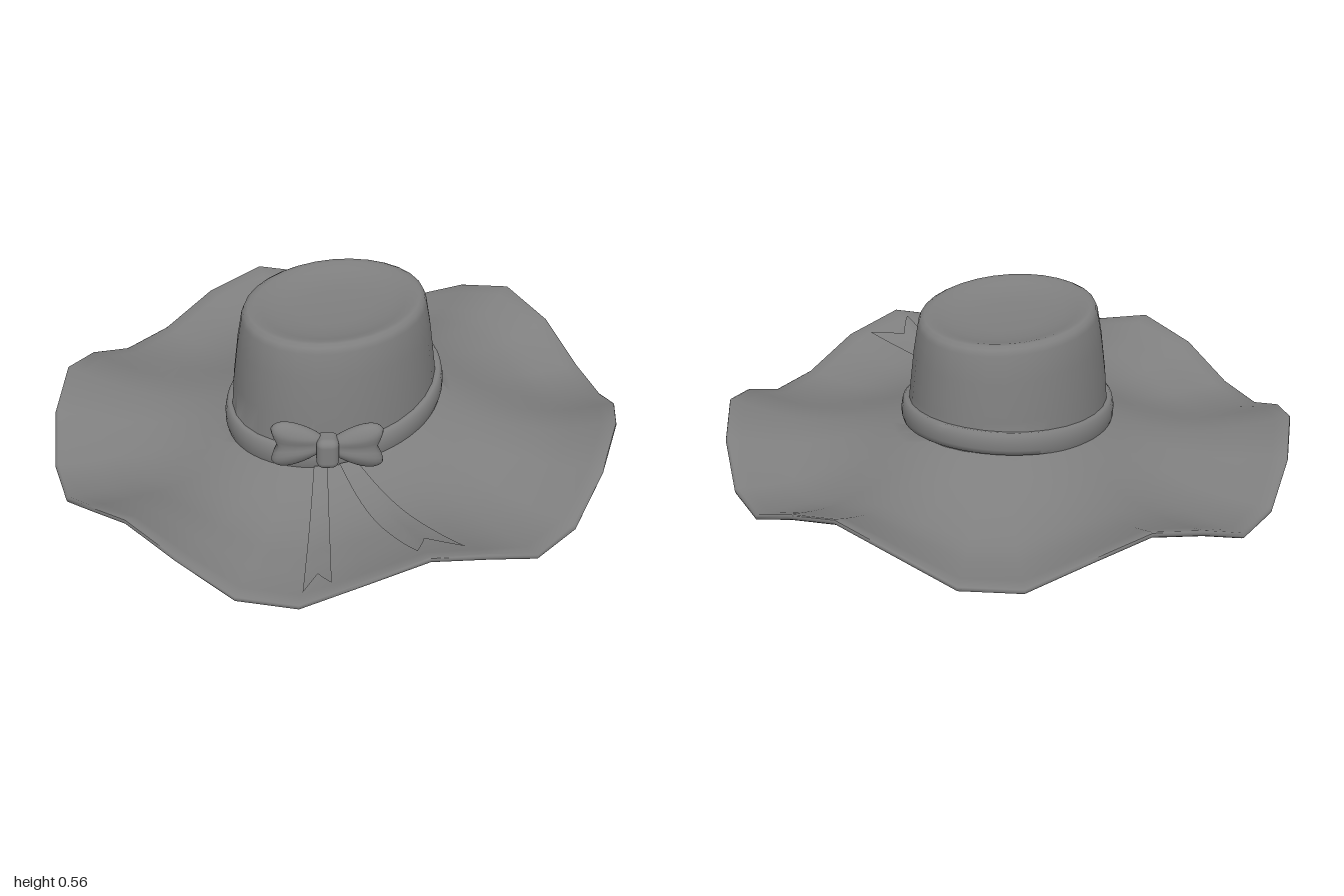
import * as THREE from 'three';
import { toCreasedNormals } from 'three/addons/utils/BufferGeometryUtils.js';
import { RoundedBoxGeometry } from 'three/addons/geometries/RoundedBoxGeometry.js';

const SIDES = 30, STEP = (Math.PI * 2) / SIDES;
const RX = 0.335, RZ = 0.395; // crown base radii
const THICK = 0.016;
const COLOR = 0x7f7f7f;
const { lerp } = THREE.MathUtils;
const rad = THREE.MathUtils.degToRad;

// Surface from a grid of points: rows run outward/down, columns run around
function loft(rows, cols, point) {
  const pos = [], index = [];
  for (let i = 0; i < rows; i++)
    for (let j = 0; j <= cols; j++) pos.push(...point(i, j));
  for (let i = 0; i < rows - 1; i++)
    for (let j = 0; j < cols; j++) {
      const a = i * (cols + 1) + j, b = a + cols + 1;
      index.push(a, b, a + 1, b, b + 1, a + 1);
    }
  const g = new THREE.BufferGeometry();
  g.setAttribute('position', new THREE.Float32BufferAttribute(pos, 3));
  g.setIndex(index);
  return toCreasedNormals(g, 1.1);
}

// Wavy brim: t = 0 at the crown, 1 at the rim; six waves that grow outward
function brimVertex(t, angle) {
  const x = lerp(RX, 0.99, t) * Math.sin(angle);
  const z = lerp(RZ, 1, t) * Math.cos(angle);
  const base = 0.107 + 0.066 * (1 - t) * (1 - t) - 0.036 * Math.sin(Math.PI * t);
  const wave = 0.083 * Math.pow(t, 1.5) * Math.cos(6 * angle);
  const tilt = -z * lerp(0.09, 0.022, Math.min(1, t * 1.5)) + 0.012 * z * z * t;
  return [x, base + wave + tilt, z];
}

// Point on the faceted brim at any angle
function brimPoint(t, angle) {
  const k = Math.floor(angle / STEP), f = angle / STEP - k;
  const a = brimVertex(t, k * STEP), b = brimVertex(t, (k + 1) * STEP);
  return a.map((v, i) => lerp(v, b[i], f));
}

// Crown and brim as one thin shell, outside then inside
function hatShell() {
  const outer = [[0.001, 0.538], [0.35, 0.54], [0.55, 0.548], [0.68, 0.56], [0.77, 0.57],
    [0.82, 0.571], [0.86, 0.563], [0.882, 0.543], [0.925, 0.45], [0.97, 0.31]];
  const inner = [[0.925, 0.28], [0.89, 0.42], [0.85, 0.51], [0.78, 0.53], [0.001, 0.51]];
  const crownRow = ([s, y]) => (a) => [RX * s * Math.sin(a), y, RZ * s * Math.cos(a)];
  const brimRow = (t, drop, s = 1) => (a) => {
    const [x, y, z] = brimVertex(t, a);
    return [x * s, y - drop, z * s];
  };
  const rows = outer.map(crownRow);
  const N = 12;
  for (let i = 0; i < N; i++) rows.push(brimRow(i / N, 0));
  // Rounded rim
  rows.push(brimRow(0.985, 0), brimRow(0.997, 0.004), brimRow(1, 0.011),
    brimRow(0.997, 0.018), brimRow(0.985, 0.021));
  for (let i = N - 1; i >= 1; i--) rows.push(brimRow(i / N, THICK));
  // Soft turn from the underside up into the crown
  rows.push(brimRow(0.03, 0.012), brimRow(0, 0, 0.985), brimRow(0, -0.03, 0.96));
  rows.push(...inner.map(crownRow));
  return loft(rows.length, SIDES, (i, j) => rows[i]((j % SIDES) * STEP));
}

// Hat band: rounded strip that dips toward the front
function hatBand() {
  const section = [[-0.014, 0.07], [0.006, 0.072], [0.015, 0.062], [0.02, 0.036],
    [0.02, 0.01], [0.015, -0.008], [0, -0.01]];
  const n = 60;
  return loft(section.length, n, (i, j) => {
    const a = ((j % n) / n) * Math.PI * 2, [out, h] = section[i];
    const z = (RZ + out) * Math.cos(a);
    return [(RX + out) * Math.sin(a), 0.17 + h - 0.11 * z + 0.08 * z * z, z];
  });
}

// Puffed bow loop, flaring to a blunt, notched end
function bowLoop(side) {
  const g = new THREE.SphereGeometry(1, 28, 20);
  const p = g.attributes.position;
  for (let i = 0; i < p.count; i++) {
    const sx = p.getX(i), sy = p.getY(i), sz = p.getZ(i);
    const u = (sx + 1) / 2;
    const blunt = Math.pow(Math.hypot(sy, sz) + 0.05, -0.4);
    const notch = 0.03 * u * Math.max(0, 1 - Math.abs(sy) * blunt * 1.7);
    p.setXYZ(i, 0.01 + 0.188 * u - notch, sy * blunt * (0.045 + 0.065 * u),
      sz * blunt * (0.036 + 0.01 * u) * (1 - 0.25 * Math.exp(-sy * sy * 12)));
  }
  g.computeVertexNormals();
  if (side < 0) g.rotateZ(Math.PI);
  return g;
}

// Ribbon tail lying on the brim, with a swallowtail end
function ribbonTail({ start, end, length, notch }) {
  const rows = 25, cols = 8;
  return loft(rows, cols, (i, j) => {
    const v = j / cols, s = i / (rows - 1);
    const reach = lerp(notch, length, Math.abs(2 * v - 1));
    const t = lerp(0.04, reach, s);
    const k = Math.pow(t / length, 0.6);
    const angle = rad(lerp(lerp(start[0], end[0], k), lerp(start[1], end[1], k), v));
    const [x, y, z] = brimPoint(t, angle);
    return [x, y + 0.014, z];
  });
}

export function createModel() {
  const hat = new THREE.Group();
  hat.name = 'sunHat';
  const mat = new THREE.MeshStandardMaterial({ color: COLOR });
  const thin = new THREE.MeshStandardMaterial({ color: COLOR, side: THREE.DoubleSide });
  const add = (parent, name, geometry, material = mat) => {
    const mesh = new THREE.Mesh(geometry, material);
    mesh.name = name;
    parent.add(mesh);
    return mesh;
  };

  add(hat, 'crownAndBrim', hatShell());
  add(hat, 'hatBand', hatBand(), thin);

  // Bow on the front left of the band
  const bow = new THREE.Group();
  bow.name = 'bow';
  bow.position.set(0.252, 0.228, 0.315);
  bow.rotation.y = rad(45);
  add(bow, 'leftLoop', bowLoop(1)).position.y = 0.008;
  add(bow, 'rightLoop', bowLoop(-1)).position.y = 0.022;
  add(bow, 'knot', new RoundedBoxGeometry(0.075, 0.11, 0.085, 4, 0.025)).position.z = 0.012;
  hat.add(bow);

  // Two ribbon tails spreading over the brim
  add(hat, 'sideTail', ribbonTail({ start: [47, 55], end: [58.7, 69], length: 0.91, notch: 0.77 }), thin);
  add(hat, 'frontTail', ribbonTail({ start: [36, 43], end: [36.5, 42], length: 0.93, notch: 0.81 }), thin);

  return hat;
}
